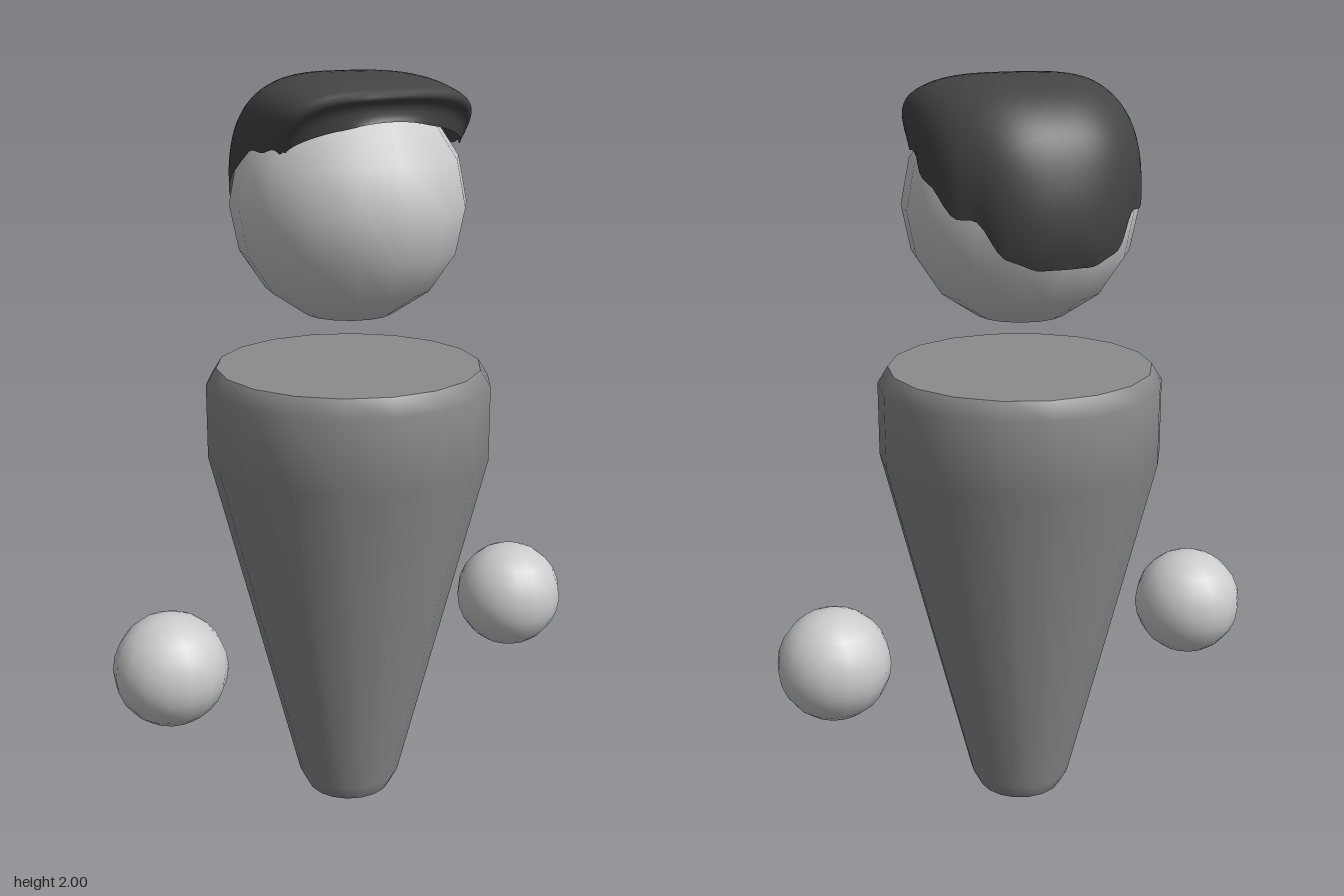
import * as THREE from 'three';

const CX = -0.005; // body and head sit a touch off the middle

function addMesh(group, name, geometry, material, x, y, z) {
  const mesh = new THREE.Mesh(geometry, material);
  mesh.name = name;
  mesh.position.set(x, y, z);
  group.add(mesh);
  return mesh;
}

const turned = (points) =>
  new THREE.LatheGeometry(points.map(([r, y]) => new THREE.Vector2(r, y)), 18, Math.PI / 2);

// Swept-back hair: arches over the head, running from the front lip to the nape
function hairGeometry() {
  // top y, top z, edge x, edge y, edge z, roundness of the arch
  const sections = [
    [1.885, 0.215, 0.245, 1.82, 0.13, 1.1],
    [1.925, 0.212, 0.25, 1.82, 0.12, 0.75],
    [1.96, 0.228, 0.26, 1.82, 0.1, 0.55],
    [1.987, 0.14, 0.273, 1.82, 0.05, 0.58],
    [2.0, 0.0, 0.28, 1.8, -0.02, 0.62],
    [1.99, -0.1, 0.279, 1.75, -0.1, 0.68],
    [1.95, -0.2, 0.255, 1.69, -0.19, 0.75],
    [1.87, -0.278, 0.205, 1.665, -0.237, 0.8],
    [1.75, -0.318, 0.15, 1.59, -0.275, 0.85],
    [1.64, -0.325, 0.09, 1.56, -0.295, 0.9],
    [1.555, -0.302, 0.03, 1.555, -0.3, 1],
  ];
  const spline = (pick) => new THREE.CatmullRomCurve3(sections.map((s) => new THREE.Vector3(...pick(s))));
  const tops = spline((s) => [s[5], s[0], s[1]]);
  const edges = spline((s) => [s[2], s[3], s[4]]);
  const rows = 40, cols = 32;
  const positions = [], index = [];
  const headCentre = new THREE.Vector3(0, 1.67, 0);

  for (let i = 0; i <= rows; i++) {
    const t = i / rows;
    const top = tops.getPoint(t), edge = edges.getPoint(t);
    // uneven hairline
    edge.y += 0.008 * Math.sin(t * 38) * Math.sin(Math.PI * t);
    for (let j = 0; j <= cols; j++) {
      const a = (j / cols) * Math.PI;
      const c = Math.cos(a);
      const rise = Math.pow(Math.max(0, Math.sin(a)), top.x);
      const p = new THREE.Vector3(
        edge.x * Math.sign(c) * Math.pow(Math.abs(c), top.x),
        THREE.MathUtils.lerp(edge.y, top.y, rise),
        THREE.MathUtils.lerp(edge.z, top.z, rise)
      );
      // keep the hair just outside the head
      const out = p.clone().sub(headCentre);
      if (out.length() < 0.31) p.copy(headCentre).add(out.setLength(0.31));
      positions.push(p.x, p.y, p.z);
      if (i < rows && j < cols) {
        const k = i * (cols + 1) + j, n = k + cols + 1;
        index.push(k, n, k + 1, k + 1, n, n + 1);
      }
    }
  }
  const geometry = new THREE.BufferGeometry();
  geometry.setAttribute('position', new THREE.Float32BufferAttribute(positions, 3));
  geometry.setIndex(index);
  geometry.computeVertexNormals();
  return geometry;
}

export function createModel() {
  const model = new THREE.Group();
  model.name = 'figure';
  const grey = new THREE.MeshStandardMaterial({ color: 0xcccccc });
  const bodyGrey = new THREE.MeshStandardMaterial({ color: 0x8c8c8c });
  const dark = new THREE.MeshStandardMaterial({ color: 0x444444, side: THREE.DoubleSide });

  // Tapered body with flat ends
  const body = new THREE.Group();
  body.name = 'body';
  model.add(body);
  const side = [[0.118, 0], [0.142, 0.045], [0.38, 1.0], [0.38, 1.2], [0.352, 1.245]];
  addMesh(body, 'bodySide', turned(side), bodyGrey, CX, 0, 0);
  addMesh(body, 'bodyTop', turned([[0.352, 1.245], [0, 1.245]]), bodyGrey, CX, 0, 0);
  addMesh(body, 'bodyBottom', turned([[0, 0], [0.118, 0]]), bodyGrey, CX, 0, 0);

  // Head and hair
  addMesh(model, 'head', new THREE.SphereGeometry(0.307, 16, 8), grey, CX, 1.67, 0);
  addMesh(model, 'hair', hairGeometry(), dark, 0, 0, 0);

  // Floating hands
  for (const [name, s] of [['leftHand', 1], ['rightHand', -1]]) {
    addMesh(model, name, new THREE.SphereGeometry(0.153, 16, 12), grey, s * 0.5375, 0.473, -0.005);
  }
  return model;
}
